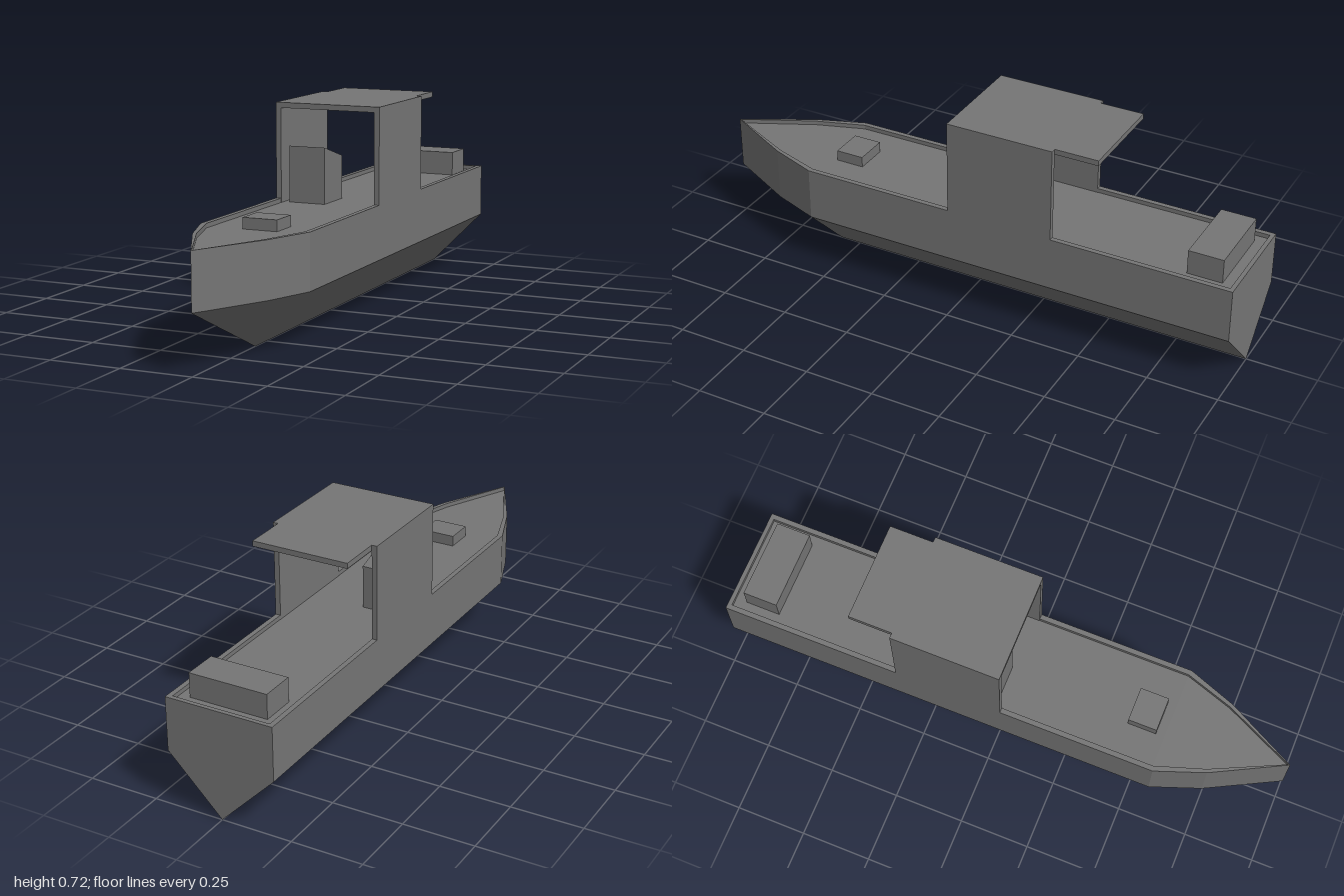
import * as THREE from 'three';

const material = new THREE.MeshStandardMaterial({ color: 0x757575, flatShading: true });
const CHINE = 0.195, GUNWALE = 0.385, DECK = 0.37, ROOF = 0.719, CEILING = 0.7;

function add(group, name, geometry) {
  const mesh = new THREE.Mesh(geometry, material);
  mesh.name = name;
  group.add(mesh);
  return mesh;
}

// Box given by its limits on each axis
function block(group, name, [x0, x1], [y0, y1], [z0, z1]) {
  const mesh = add(group, name, new THREE.BoxGeometry(x1 - x0, y1 - y0, z1 - z0));
  mesh.position.set((x0 + x1) / 2, (y0 + y1) / 2, (z0 + z1) / 2);
}

// Hull skin: a strip of cross-sections from transom centre to bow, mirrored
function hullGeometry() {
  // outer x, outer z, inner x, inner z, keel z
  const stations = [
    [0, -1, 0, -0.985, -1],
    [0.193, -1, 0.175, -0.985, -1],
    [0.193, 0.578, 0.175, 0.573, 0.58],
    [0.13, 0.75, 0.118, 0.745, 0.58],
    [0, 1, 0, 0.994, 0.58],
  ];
  // keel, chine, gunwale, inner gunwale, deck edge, deck centreline
  const sections = stations.map(([x, z, ix, iz, kz]) => [
    [0, 0, kz], [x, CHINE, z], [x, GUNWALE, z],
    [ix, GUNWALE, iz], [ix, DECK, iz], [0, DECK, iz],
  ].map((p) => new THREE.Vector3(...p)));

  const positions = [];
  const triangle = (a, b, c) => {
    if (new THREE.Triangle(a, b, c).getArea() < 1e-7) return;
    for (const p of [a, b, c]) positions.push(p.x, p.y, p.z);
    for (const p of [a, c, b]) positions.push(-p.x, p.y, p.z);
  };
  for (let i = 0; i < sections.length - 1; i++) {
    const s = sections[i], t = sections[i + 1];
    for (let r = 0; r < s.length - 1; r++) {
      triangle(t[r], s[r], s[r + 1]);
      triangle(t[r], s[r + 1], t[r + 1]);
    }
  }
  const geometry = new THREE.BufferGeometry();
  geometry.setAttribute('position', new THREE.Float32BufferAttribute(positions, 3));
  geometry.computeVertexNormals();
  return geometry;
}

// Helm console: side profile with a top sloping down aft, extruded across
function consoleGeometry() {
  const profile = new THREE.Shape([
    new THREE.Vector2(-0.002, DECK), new THREE.Vector2(0.147, DECK),
    new THREE.Vector2(0.147, 0.522), new THREE.Vector2(-0.002, 0.567),
  ]);
  const geometry = new THREE.ExtrudeGeometry(profile, { depth: 0.134, bevelEnabled: false });
  return geometry.rotateY(Math.PI / 2).translate(-0.154, 0, 0);
}

export function createModel() {
  const boat = new THREE.Group();
  boat.name = 'boat';
  add(boat, 'hull', hullGeometry());

  // Open wheelhouse: two side walls and a roof with a narrower aft overhang
  const cabin = new THREE.Group();
  cabin.name = 'wheelhouse';
  boat.add(cabin);
  const cabinZ = [-0.36, 0.025];
  block(cabin, 'leftWall', [0.174, 0.193], [DECK, CEILING], cabinZ);
  block(cabin, 'rightWall', [-0.193, -0.174], [DECK, CEILING], cabinZ);
  block(cabin, 'roof', [-0.193, 0.193], [CEILING, ROOF], cabinZ);
  block(cabin, 'roofOverhang', [-0.174, 0.174], [CEILING, ROOF], [-0.515, -0.36]);

  // Deck fittings
  add(boat, 'helmConsole', consoleGeometry());
  block(boat, 'foredeckHatch', [-0.061, 0.061], [DECK, 0.408], [0.44, 0.542]);
  block(boat, 'sternLocker', [-0.142, 0.139], [DECK, 0.456], [-0.945, -0.822]);
  return boat;
}
